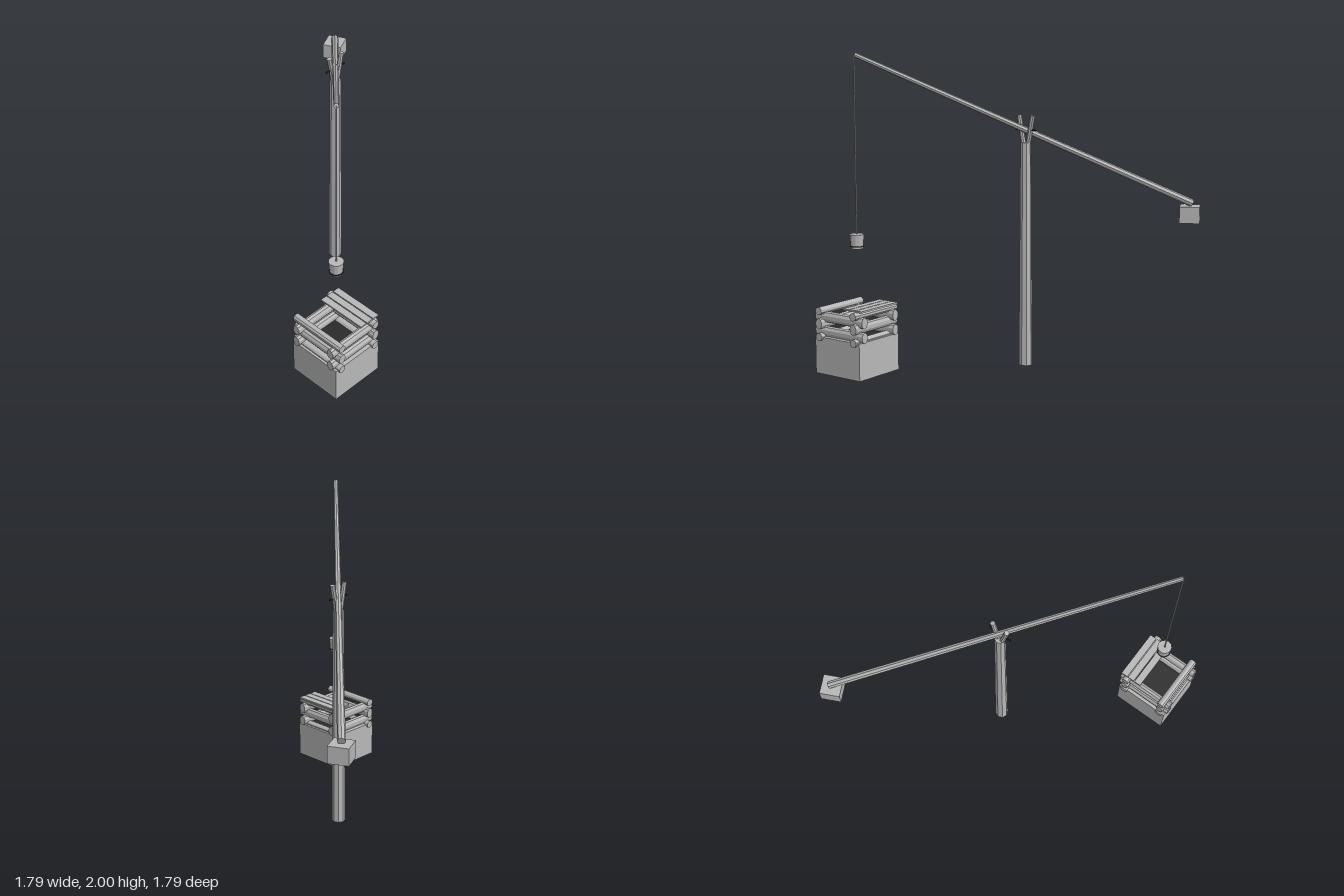
import * as THREE from 'three';

export function createModel() {
  const root = new THREE.Group();
  root.name = 'sweepWell';

  const mat = (name, color) => {
    const m = new THREE.MeshStandardMaterial({ color, flatShading: true });
    m.name = name;
    return m;
  };
  const grey = mat('weathered grey', 0xb8b8b8);
  const dark = mat('dark', 0x2b2b2b);

  const add = (name, geo, material, x = 0, y = 0, z = 0, parent = root) => {
    const m = new THREE.Mesh(geo, material);
    m.name = name;
    m.position.set(x, y, z);
    parent.add(m);
    return m;
  };
  // Tapered pole between two points
  const pole = (name, a, b, ra, rb, sides = 8, material = grey, parent = root) => {
    const p = new THREE.Vector3(...a), q = new THREE.Vector3(...b);
    const dir = q.clone().sub(p);
    const m = add(name, new THREE.CylinderGeometry(rb, ra, dir.length(), sides), material, 0, 0, 0, parent);
    m.position.copy(p).add(q).multiplyScalar(0.5);
    m.quaternion.setFromUnitVectors(new THREE.Vector3(0, 1, 0), dir.normalize());
    return m;
  };

  // Upright post with a forked top and a pivot pin
  const px = -0.055, pz = -0.054;
  pole('post', [px, 0, pz], [px, 1.43, pz], 0.043, 0.034);
  for (const s of [1, -1])
    pole('forkProng', [px, 1.4, pz + s * 0.013], [px, 1.6, pz + s * 0.052], 0.017, 0.016);
  pole('pivotPin', [px, 1.51, -0.132], [px, 1.51, 0.025], 0.006, 0.006, 8, dark);

  // Diagonal sweep beam with its counterweight
  pole('sweepBeam', [-0.819, 1.02, -0.819], [0.696, 1.986, 0.696], 0.025, 0.015);
  add('counterweight', new THREE.BoxGeometry(0.128, 0.106, 0.128), grey, -0.81, 0.95, -0.81).rotation.y = 0.46;

  // Rope and bucket
  const c = 0.697;
  pole('rope', [c, 0.87, c], [c, 1.985, c], 0.005, 0.005, 6);
  add('bucket', new THREE.CylinderGeometry(0.046, 0.039, 0.09, 12), grey, c, 0.83, c);
  add('bucketHoop', new THREE.TorusGeometry(0.041, 0.004, 6, 16), dark, c, 0.8, c).rotation.x = Math.PI / 2;

  // Well shaft block and its dark mouth
  const well = new THREE.Group();
  well.name = 'well';
  well.position.set(0.702, 0, 0.704);
  root.add(well);
  add('shaft', new THREE.BoxGeometry(0.366, 0.236, 0.366), grey, 0, 0.118, 0, well);
  add('mouth', new THREE.BoxGeometry(0.28, 0.006, 0.28), dark, 0, 0.238, 0, well);

  // Crossed log courses: [height, vertical radius, runs along x]
  const courses = [
    [0.235, 0.025, true], [0.267, 0.035, false], [0.32, 0.035, true],
    [0.36, 0.036, false], [0.401, 0.025, true],
  ];
  for (const [y, ry, alongX] of courses) {
    for (const s of [-1, 1]) {
      const geo = new THREE.CylinderGeometry(0.026, 0.026, 0.39, 10);
      geo.rotateX(Math.PI / 2);
      geo.scale(1, ry / 0.026, 1);
      if (alongX) geo.rotateY(Math.PI / 2);
      add('log', geo, grey, alongX ? 0 : s * 0.143, y, alongX ? s * 0.143 : 0, well);
    }
  }

  // Three planks covering the back of the mouth
  for (let i = 0; i < 3; i++)
    add('plank', new THREE.BoxGeometry(0.338, 0.011, 0.046), grey, 0, 0.432, -0.169 + i * 0.052, well);

  return root;
}
